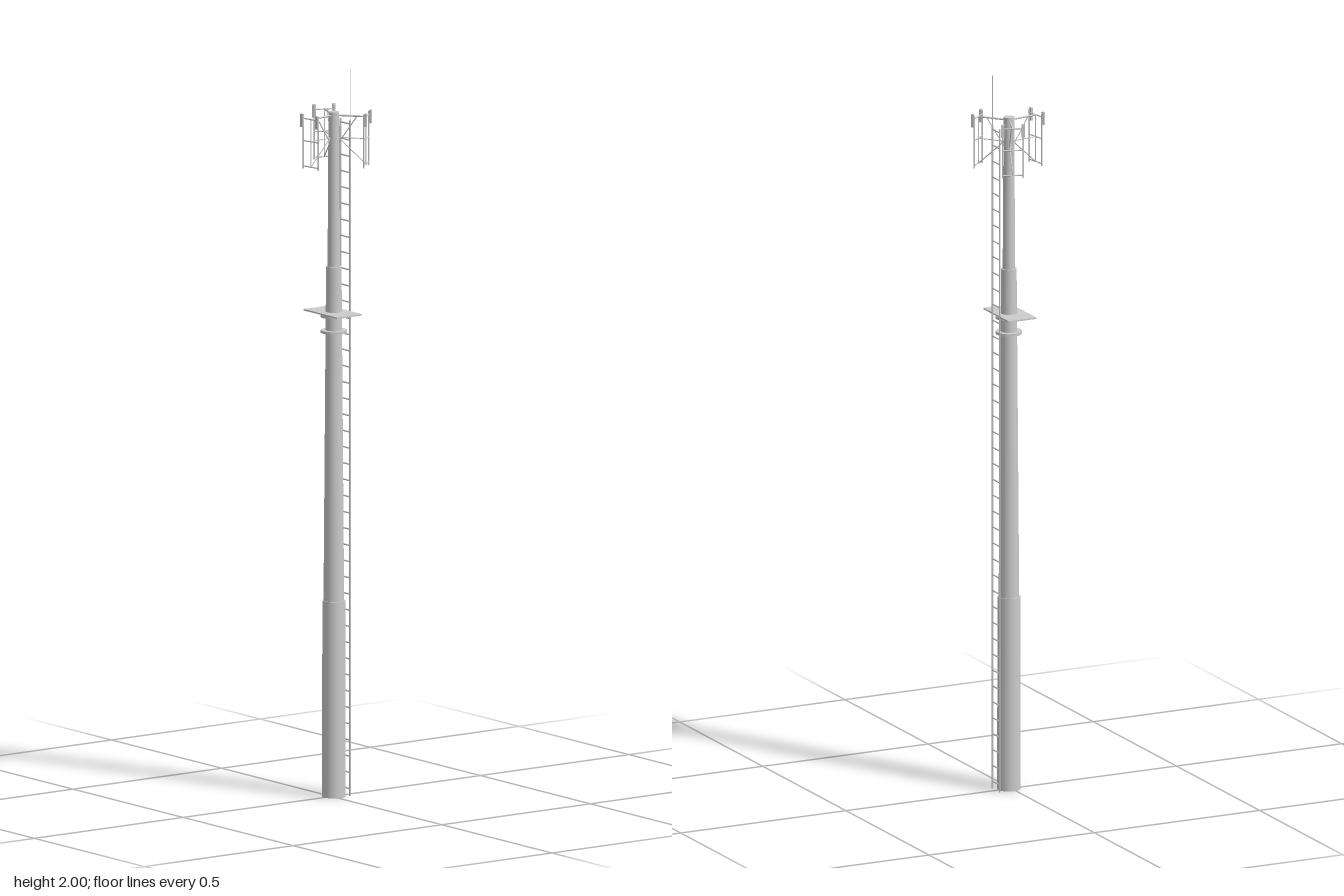
import * as THREE from 'three';

const material = new THREE.MeshStandardMaterial({ color: 0xcccccc });
const CX = 0.006, CZ = 0.0015; // pole axis

function add(parent, name, geometry, x = 0, y = 0, z = 0) {
  const mesh = new THREE.Mesh(geometry, material);
  mesh.name = name;
  mesh.position.set(x, y, z);
  parent.add(mesh);
  return mesh;
}

// Round bar between two points
function bar(parent, name, a, b, radius, sides = 8) {
  const start = new THREE.Vector3(...a), end = new THREE.Vector3(...b);
  const dir = end.clone().sub(start);
  const mesh = add(parent, name, new THREE.CylinderGeometry(radius, radius, dir.length(), sides));
  mesh.position.copy(start).add(end).multiplyScalar(0.5);
  mesh.quaternion.setFromUnitVectors(new THREE.Vector3(0, 1, 0), dir.normalize());
  return mesh;
}

// Antenna frame pointing along +x from the pole axis
function antennaFrame(angle) {
  const frame = new THREE.Group();
  frame.name = 'antennaFrame';
  const reach = 0.09, half = 0.028, top = 1.876, middle = 1.815, bottom = 1.745;

  bar(frame, 'topArm', [0.012, top, 0], [reach, top, 0], 0.0025);
  bar(frame, 'middleArm', [0.012, middle, 0], [reach, middle, 0], 0.0013);
  bar(frame, 'upperBrace', [0.065, top, 0], [0.013, 1.80, 0], 0.0015);
  bar(frame, 'lowerBrace', [reach, bottom, 0], [0.013, middle, 0], 0.0015);
  bar(frame, 'centrePost', [reach, bottom, 0], [reach, top, 0], 0.0013);
  for (const y of [top, middle, bottom]) {
    bar(frame, 'crossBar', [reach, y, -half], [reach, y, half], 0.0018);
  }
  for (const side of [-1, 1]) {
    const z = side * half;
    bar(frame, 'antennaPost', [reach, 1.738, z], [reach, 1.886, z], 0.002);
    add(frame, 'antennaPanel', new THREE.BoxGeometry(0.006, 0.036, 0.009), reach + 0.005, 1.871, z);
  }
  frame.position.set(CX, 0, CZ);
  frame.rotation.y = -angle;
  return frame;
}

export function createModel() {
  const model = new THREE.Group();
  model.name = 'antennaMast';

  // Tapering pole sections: base height, top height, base radius, top radius
  const sections = [
    [0, 0.54, 0.032, 0.031],
    [0.54, 1.46, 0.028, 0.021],
    [1.46, 1.885, 0.017, 0.0145],
  ];
  for (const [y0, y1, r0, r1] of sections) {
    add(model, 'poleSection', new THREE.CylinderGeometry(r1, r0, y1 - y0, 32), CX, (y0 + y1) / 2, CZ);
  }

  // Service platform with the two flanges beneath it
  add(model, 'platform', new THREE.BoxGeometry(0.084, 0.004, 0.152), 0.003, 1.333, 0.001);
  for (const y of [1.281, 1.324]) {
    add(model, 'flange', new THREE.CylinderGeometry(0.036, 0.036, 0.007, 32), CX, y, CZ);
  }

  // Ladder with a thin rod on its front rail
  const ladder = new THREE.Group();
  ladder.name = 'ladder';
  const ladderX = 0.045, ladderTop = 1.86, railZ = [-0.021, 0.023];
  for (const z of railZ) {
    bar(ladder, 'ladderRail', [ladderX, 0, z], [ladderX, ladderTop, z], 0.0028);
  }
  const rungs = 42;
  for (let i = 0; i < rungs; i++) {
    const y = 0.02 + (i * (ladderTop - 0.03)) / (rungs - 1);
    bar(ladder, 'ladderRung', [ladderX, y, railZ[0]], [ladderX, y, railZ[1]], 0.0022, 6);
  }
  bar(ladder, 'lightningRod', [ladderX, ladderTop, railZ[1]], [ladderX, 2, railZ[1]], 0.001, 6);
  model.add(ladder);

  // Three antenna frames spaced evenly around the top
  for (let i = 0; i < 3; i++) {
    model.add(antennaFrame(THREE.MathUtils.degToRad(50 + i * 120)));
  }
  return model;
}
